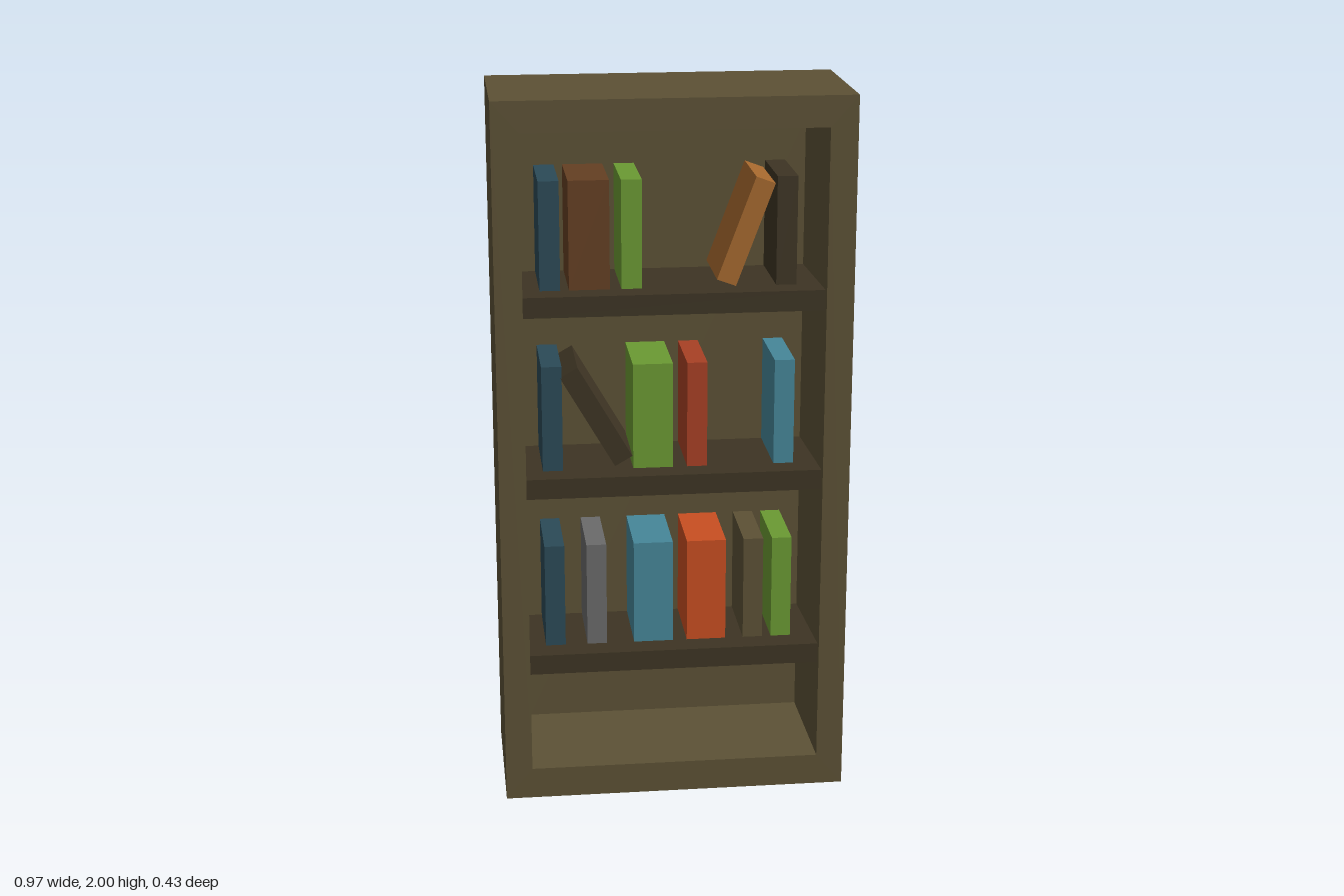
import * as THREE from 'three';

const paint = (name, color) => new THREE.MeshStandardMaterial({ name, color });

// Closed shell from successive rectangular sections [halfWidth, bottom, top, z], capped at both ends
function shellFromSections(sections) {
  const rings = sections.map(([w, b, t, z]) => [[-w, b, z], [w, b, z], [w, t, z], [-w, t, z]]);
  const pos = [];
  const quad = (a, b, c, d) => pos.push(...a, ...b, ...c, ...a, ...c, ...d);
  for (let r = 0; r < rings.length - 1; r++) {
    for (let i = 0; i < 4; i++) {
      const j = (i + 1) % 4;
      quad(rings[r][i], rings[r][j], rings[r + 1][j], rings[r + 1][i]);
    }
  }
  const first = rings[0], last = rings[rings.length - 1];
  quad(first[3], first[2], first[1], first[0]);
  quad(last[0], last[1], last[2], last[3]);
  const geo = new THREE.BufferGeometry();
  geo.setAttribute('position', new THREE.Float32BufferAttribute(pos, 3));
  geo.computeVertexNormals();
  return geo;
}

export function createModel() {
  const model = new THREE.Group();
  model.name = 'bookcase';

  const mats = {
    wood: paint('wood', 0x5c5135),
    dark: paint('darkWood', 0x3d3423),
    navy: paint('navy', 0x2b4a57),
    brown: paint('brown', 0x643f22),
    green: paint('green', 0x6b9a33),
    orange: paint('orange', 0xa5682d),
    red: paint('red', 0xa84024),
    blue: paint('blue', 0x468799),
    grey: paint('grey', 0x6a6a6a),
    vermilion: paint('vermilion', 0xc84e21),
  };

  const add = (name, geo, mat, x = 0, y = 0, z = 0) => {
    const mesh = new THREE.Mesh(geo, mat);
    mesh.name = name;
    mesh.position.set(x, y, z);
    model.add(mesh);
    return mesh;
  };

  const front = 0.215, recess = -0.1;

  // Cabinet: back, outer walls, front rim, then the slightly tapered recess
  add('cabinet', shellFromSections([
    [0.485, 0, 2, -front],
    [0.485, 0, 2, front],
    [0.41, 0.09, 1.915, front],
    [0.398, 0.11, 1.887, recess],
  ]), mats.wood);

  // Shelves
  const shelfTops = [0.432, 0.956, 1.47];
  const shelfFront = 0.197, thick = 0.057;
  for (const top of shelfTops) {
    add('shelf', new THREE.BoxGeometry(0.82, thick, shelfFront - recess), mats.dark,
      0, top - thick / 2, (shelfFront + recess) / 2);
  }

  // Books: [shelf, centre x, width, colour, lean angle, centre height above shelf]
  const thin = 0.056, wide = 0.111, height = 0.3, bookFront = 0.127;
  const books = [
    [0, -0.332, thin, 'navy'],
    [0, -0.214, thin, 'grey'],
    [0, -0.053, wide, 'blue'],
    [0, 0.098, wide, 'vermilion'],
    [0, 0.232, thin, 'wood'],
    [0, 0.313, thin, 'green'],
    [1, -0.332, thin, 'navy'],
    [1, -0.21, thin, 'dark', 0.524, 0.152],
    [1, -0.053, wide, 'green'],
    [1, 0.07, thin, 'red'],
    [1, 0.313, thin, 'blue'],
    [2, -0.332, thin, 'navy'],
    [2, -0.225, wide, 'brown'],
    [2, -0.11, thin, 'green'],
    [2, 0.201, thin, 'orange', -0.358, 0.15],
    [2, 0.313, thin, 'dark'],
  ];
  for (const [shelf, x, width, color, lean = 0, lift = height / 2] of books) {
    const book = add(lean ? 'leaningBook' : 'book',
      new THREE.BoxGeometry(width, height, bookFront - recess), mats[color],
      x, shelfTops[shelf] + lift, (bookFront + recess) / 2);
    book.rotation.z = lean;
  }

  return model;
}
